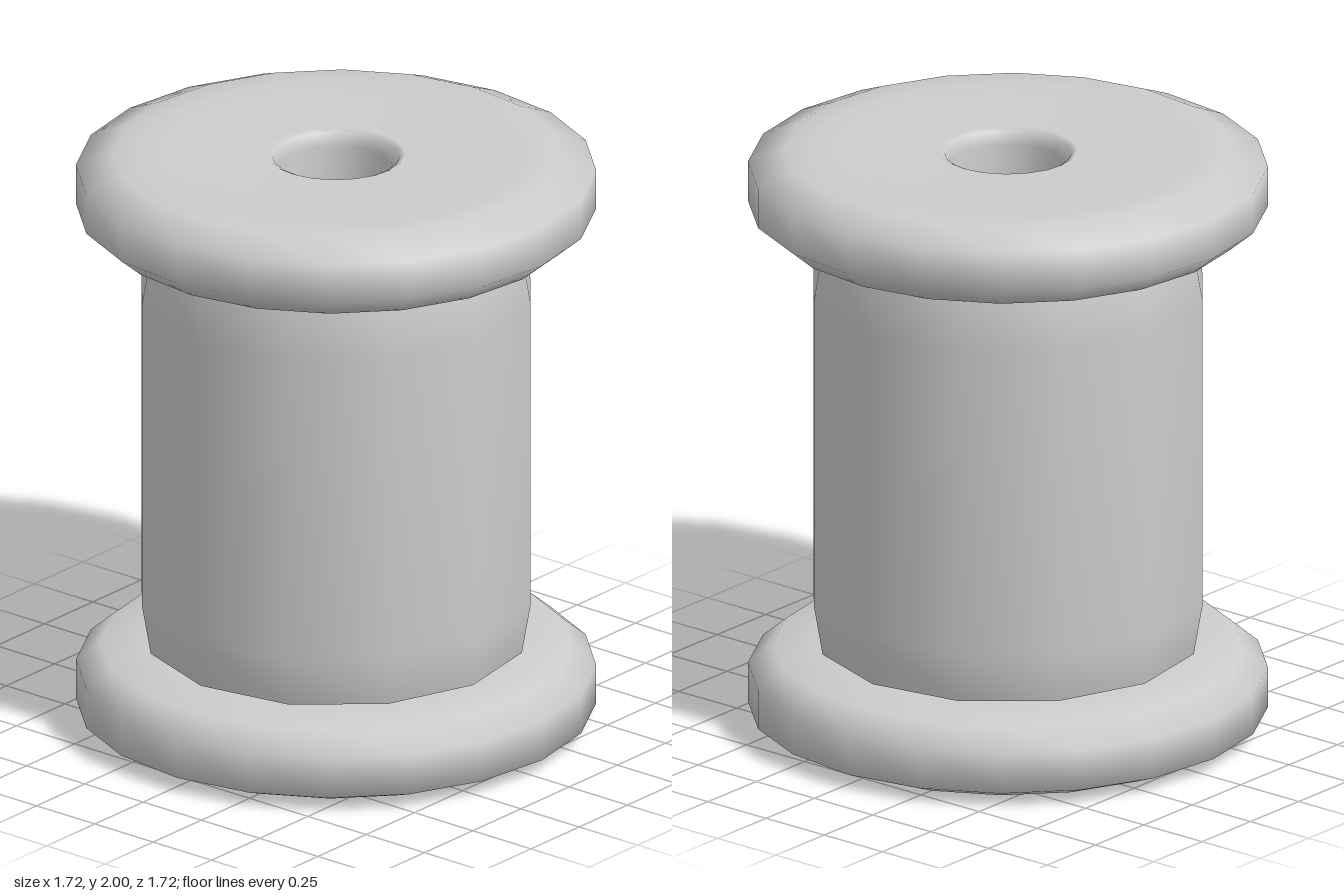
import * as THREE from 'three';

const toPoints = (pairs) => pairs.map(([r, y]) => new THREE.Vector2(r, y));

export function createModel() {
  const group = new THREE.Group();
  const grey = new THREE.MeshStandardMaterial({ color: 0xcccccc });
  grey.name = 'lightGrey';

  const addLathe = (name, profile, sides, phase) => {
    const geometry = new THREE.LatheGeometry(
      toPoints(profile), sides, THREE.MathUtils.degToRad(phase));
    const mesh = new THREE.Mesh(geometry, grey);
    mesh.name = name;
    group.add(mesh);
  };

  // Closed ring profile: softened hole, flat outer face, rounded rim, sloped inner face
  const flange = [
    [0.19, 0.275], [0.19, 0.05], [0.21, 0.01], [0.23, 0], [0.64, 0], [0.74, 0],
    [0.86, 0.05], [0.86, 0.187], [0.78, 0.255], [0.6, 0.275], [0.19, 0.275],
  ];
  addLathe('bottomFlange', flange, 20, 2);

  // Top flange is the same ring flipped
  const flipped = flange.map(([r, y]) => [r, 2 - y]).reverse();
  addLathe('topFlange', flipped, 20, 2);

  // Wound body with tapered ends; its caps close the holes in the flanges
  addLathe('spoolBody', [
    [0, 0.28], [0.62, 0.28], [0.635, 0.285], [0.665, 0.46],
    [0.665, 1.53], [0.63, 1.735], [0.61, 1.74], [0, 1.74],
  ], 12, -5);

  return group;
}
